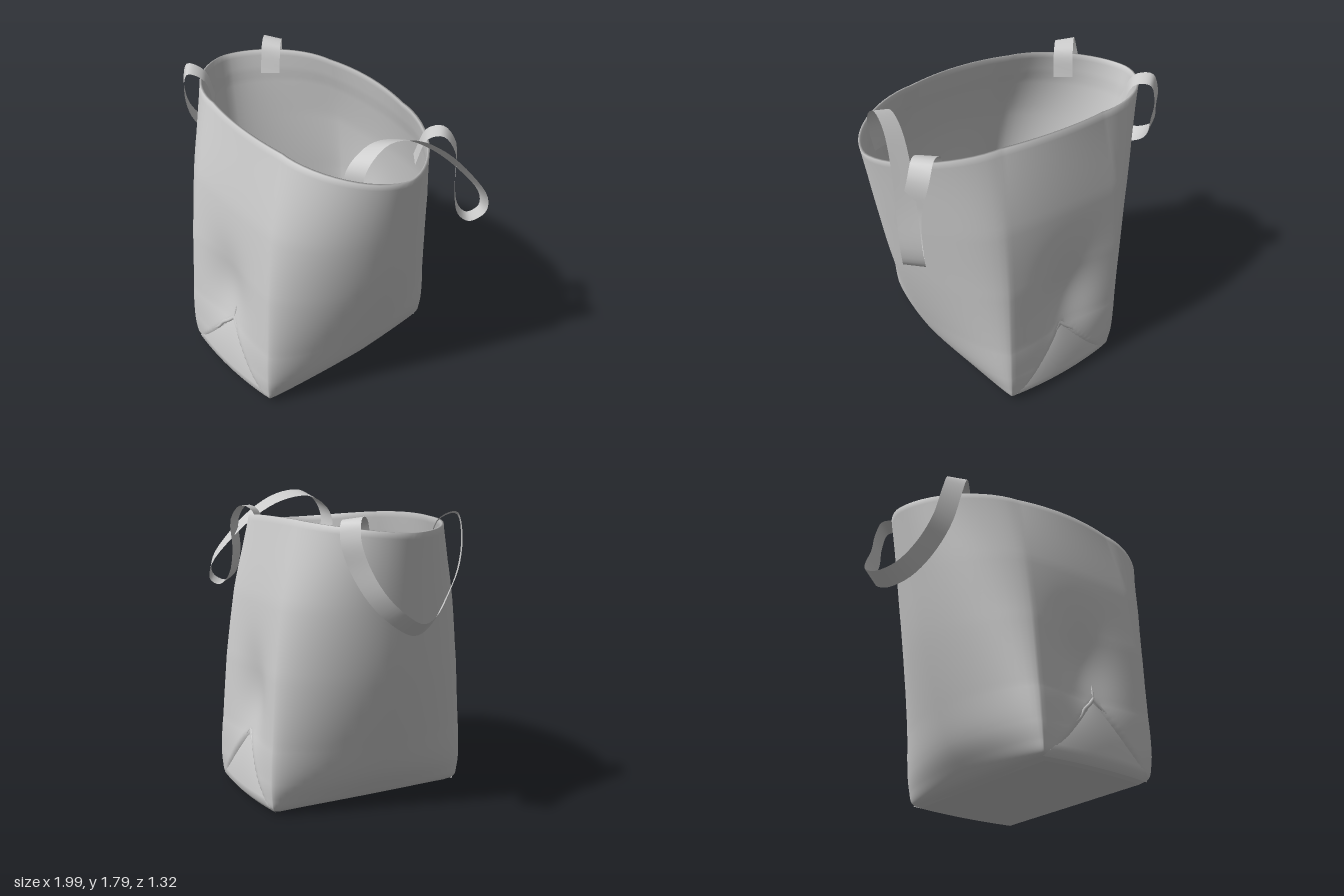
import * as THREE from 'three';

const V = (x, y, z) => new THREE.Vector3(x, y, z);
const spline = pts => new THREE.CatmullRomCurve3(pts.map(p => V(...p)));
const material = () => new THREE.MeshStandardMaterial({ color: 0xcccccc, side: THREE.DoubleSide });

function mesh(geometry, name) {
  const m = new THREE.Mesh(geometry, material());
  m.name = name;
  return m;
}

// Indexed surface through rows of points; closed rings wrap around
function loft(rows, closed) {
  const n = rows[0].length, index = [];
  for (let r = 0; r < rows.length - 1; r++) {
    for (let i = 0; i < (closed ? n : n - 1); i++) {
      const a = r * n + i, b = r * n + (i + 1) % n;
      index.push(a, a + n, b, b, a + n, b + n);
    }
  }
  const g = new THREE.BufferGeometry().setFromPoints(rows.flat());
  g.setIndex(index);
  g.computeVertexNormals();
  return g;
}

// Profile: [height, half width, half width of the flat panel] and
// [panel corner depth, panel middle depth, roundness of the side]
const widths = spline([[0, .335, .335], [.03, .4, .37], [.1, .465, .38], [.2, .532, .385],
  [.4, .608, .385], [.8, .725, .38], [1.2, .805, .37], [1.66, .885, .34]]);
const depths = spline([[.575, .6, 2], [.618, .645, 1.9], [.632, .655, 1.75], [.636, .65, 1.62],
  [.625, .632, 1.52], [.597, .6, 1.5], [.545, .56, 1.58], [.435, .47, 1.72]]);

const SIDE = 14, PANEL = 14, Q = SIDE + PANEL;
const FOLD = { x: .05, half: .37, top: .42 };

// One ring of the bag: rounded sides, nearly flat front and back panels
function ring(t, inset = 0, scale = 1) {
  const w = widths.getPoint(t), d = depths.getPoint(t), pts = [];
  const y = Math.max(w.x, inset), X = w.y - inset, c = w.z - inset * .6;
  const shift = .05 - .022 * y;
  for (let i = 0; i < 4 * Q; i++) {
    const q = Math.floor(i / Q), r = i % Q, j = q % 2 ? Q - r : r;
    const sx = q === 0 || q === 3 ? 1 : -1, sz = q < 2 ? 1 : -1;
    let x, z;
    if (j <= SIDE) {
      const a = j / SIDE * Math.PI / 2;
      x = c + (X - c) * Math.pow(Math.max(0, Math.cos(a)), 2 / d.z);
      z = (d.x - inset) * Math.pow(Math.sin(a), 2 / d.z);
    } else {
      const f = 1 - (j - SIDE) / PANEL;
      x = c * f;
      z = d.x - inset + (d.y - d.x) * (1 - f * f);
      // soft dent above the fold, and a recess behind it
      z -= .06 * Math.exp(-(((sx * x + .04) / .19) ** 2) - ((y - .6) / .27) ** 2) * (1 - f ** 4);
      const inside = 1 - Math.abs(sx * x + shift - FOLD.x) / FOLD.half - y / FOLD.top;
      z -= .05 * THREE.MathUtils.smoothstep(inside, 0, .25) * THREE.MathUtils.smoothstep(y, .02, .12);
    }
    x = sx * x * scale + shift;
    z = sz * z * scale + (.055 * x - .012) * y / 1.66;
    // rim dips towards the two sides
    pts.push(V(x, y * (1 - .036 * (x / .88) ** 2 * (y / 1.66) ** 2), z));
  }
  return pts;
}

function bagBody() {
  const rows = [ring(0, 0, 0), ring(0, 0, .92)], N = 84;
  for (let i = 0; i <= N; i++) rows.push(ring(i / N));
  // hem, then the lining down to the floor
  for (let i = N; i >= 4; i--) rows.push(ring(i / N, i > N - 5 ? .013 : .009));
  rows.push(ring(2 / N, .009, .9), ring(2 / N, .009, 0));
  return mesh(loft(rows, true), 'bagBody');
}

// Triangular corner fold with raised edges and a short seam above it
function cornerFold() {
  const g = new THREE.Group(), rows = [];
  for (let r = 0; r <= 12; r++) {
    const v = r / 12, y = .012 + (FOLD.top - .012) * v, row = [];
    for (let i = 0; i <= 20; i++) {
      const u = 1 - i / 10;
      const tuck = (.028 * u * u + (r === 0 ? .03 : 0)) * (1 - v);
      row.push(V(FOLD.x + u * FOLD.half * (1 - v), y, .662 - .45 * y * y - tuck));
    }
    rows.push(row);
  }
  g.add(mesh(loft(rows, false), 'foldFlap'));
  for (const s of [-1, 1]) {
    const pts = [];
    for (let i = 0; i <= 8; i++) {
      const v = i / 8, y = .04 + .375 * v;
      const x = FOLD.x + s * (.34 * (1 - v) + .006 * Math.sin(i * 2.3));
      pts.push([x, y, .618 + .06 * v - .09 * v * v]);
    }
    g.add(mesh(new THREE.TubeGeometry(spline(pts), 32, .012, 6), 'foldEdge'));
  }
  const seam = spline([[.05, .4, .588], [.055, .45, .583], [.06, .5, .57]]);
  g.add(mesh(new THREE.TubeGeometry(seam, 6, .007, 5), 'foldSeam'));
  return g;
}

// Flat ribbon along a path; its width direction turns through the given ones
function strap(points, turns, name) {
  const path = spline(points), turn = spline(turns), rows = [], N = 60;
  for (let i = 0; i <= N; i++) {
    const p = path.getPoint(i / N);
    const w = turn.getPoint(i / N).normalize().multiplyScalar(.058);
    rows.push([p.clone().add(w), p.clone().sub(w)]);
  }
  return mesh(loft(rows, false), name);
}

export function createModel() {
  const model = new THREE.Group();
  model.name = 'bag';
  model.add(bagBody());

  const front = cornerFold(), back = cornerFold();
  front.name = 'frontFold';
  back.name = 'backFold';
  back.scale.z = -1;
  model.add(front, back);

  // Handles hook over the rim and hang outside
  model.add(strap([[.68, 1.46, .24], [.7, 1.62, .25], [.715, 1.71, .2], [.73, 1.765, .1],
    [.77, 1.74, -.06], [.83, 1.64, -.22], [.9, 1.48, -.37], [.95, 1.32, -.475],
    [.945, 1.22, -.485], [.91, 1.18, -.42], [.88, 1.24, -.36], [.86, 1.4, -.335],
    [.82, 1.6, -.36], [.76, 1.69, -.32], [.69, 1.66, -.27], [.65, 1.5, -.23]],
  [[.95, 0, -.3], [.9, .35, 0], [.8, .25, .4], [.65, 0, .75], [.75, 0, .65]], 'leftHandle'));
  model.add(strap([[-.6, 1.5, .21], [-.63, 1.65, .25], [-.7, 1.69, .32], [-.74, 1.58, .33],
    [-.77, 1.4, .29], [-.81, 1.25, .19], [-.87, 1.14, .07], [-.93, 1.11, -.06],
    [-.945, 1.16, -.17], [-.9, 1.27, -.28], [-.83, 1.43, -.355], [-.8, 1.57, -.39],
    [-.77, 1.67, -.37], [-.7, 1.66, -.3], [-.65, 1.5, -.25]],
  [[.75, 0, .6], [.75, -.25, .45], [.7, -.6, 0], [.75, -.3, -.5], [.6, 0, -.75]], 'rightHandle'));
  return model;
}
